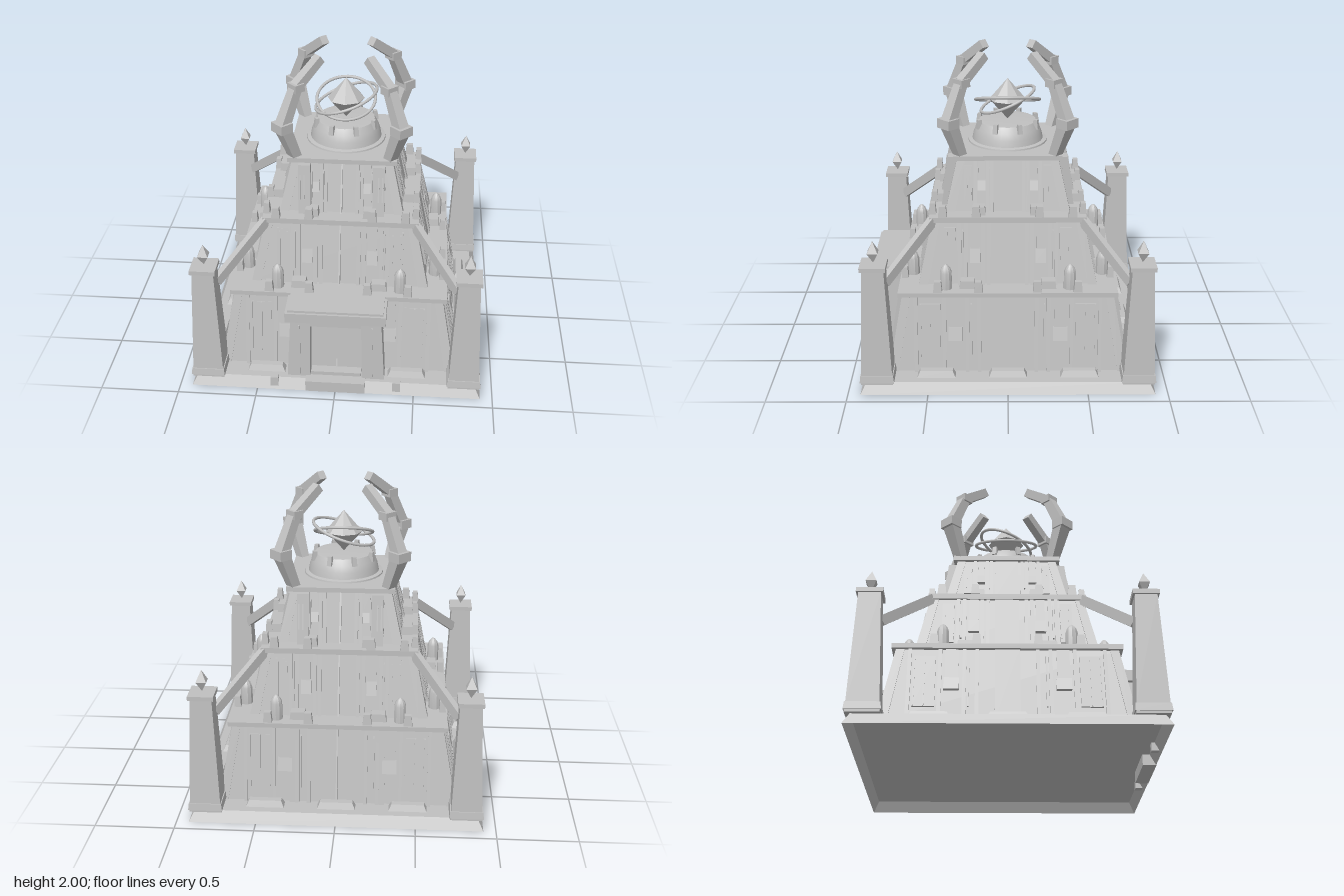
import * as THREE from 'three';
import { toCreasedNormals } from 'three/addons/utils/BufferGeometryUtils.js';

// Double sided because the base is an open shell underneath
const stone = new THREE.MeshStandardMaterial({ color: 0xc0c0c0, side: THREE.DoubleSide });
stone.name = 'grey stone';

function add(parent, name, geometry) {
  const mesh = new THREE.Mesh(geometry, stone);
  mesh.name = name;
  parent.add(mesh);
  return mesh;
}

// Block between a bottom and a top rectangle, each [x0, x1, z0, z1]
function slab(parent, name, y0, y1, bottom, top = bottom) {
  const geo = new THREE.BoxGeometry(1, 1, 1);
  const p = geo.attributes.position;
  for (let i = 0; i < p.count; i++) {
    const up = p.getY(i) > 0;
    const r = up ? top : bottom;
    p.setXYZ(i, p.getX(i) > 0 ? r[1] : r[0], up ? y1 : y0, p.getZ(i) > 0 ? r[3] : r[2]);
  }
  geo.computeVertexNormals();
  return add(parent, name, geo);
}

const rect = (x, z, hx, hz = hx) => [x - hx, x + hx, z - hz, z + hz];

// Tapered bar between two [y, z] points in the plane x = 0
function beam(parent, name, [ya, za], [yb, zb], w0, h0, w1 = w0, h1 = h0) {
  const geo = new THREE.BoxGeometry(1, 1, Math.hypot(yb - ya, zb - za));
  const p = geo.attributes.position;
  for (let i = 0; i < p.count; i++) {
    const end = p.getZ(i) > 0;
    p.setX(i, p.getX(i) * (end ? w1 : w0));
    p.setY(i, p.getY(i) * (end ? h1 : h0));
  }
  geo.computeVertexNormals();
  const mesh = add(parent, name, geo);
  mesh.position.set(0, (ya + yb) / 2, (za + zb) / 2);
  mesh.rotation.x = -Math.atan2(yb - ya, zb - za);
}

function lathe(parent, name, pts, sides) {
  const geo = new THREE.LatheGeometry(pts.map(([x, y]) => new THREE.Vector2(x, y)), sides);
  return add(parent, name, toCreasedNormals(geo, 0.5));
}

// slabs: [x, width, bottom depth, top depth] on the front and back walls
const tiers = [
  { y0: 0.07, y1: 0.56, w0: 0.745, w1: 0.66, trim: 0.69, trimTop: 0.59,
    panels: [[0.49, 0.13, 0.17, 0.51]], box: [0.33, 0.09, 0.28, 0.36],
    slabs: [[0.487, 0.19, 0.012, 0.012], [0.27, 0.06, 0.015, 0.015]],
    pilasters: [0.18, 0.255, 0.40, 0.58], ribs: [0.23, 0.49, 0.55], ribDepth: 0.03 },
  { y0: 0.59, y1: 0.985, w0: 0.555, w1: 0.475, trim: 0.495, trimTop: 1.02,
    panels: [[0.365, 0.075, 0.66, 0.95]], box: [0.207, 0.065, 0.735, 0.82],
    slabs: [[0.35, 0.08, 0.015, 0.015]],
    pilasters: [0.12, 0.155, 0.265, 0.305], ribs: [0.285, 0.335, 0.385], ribDepth: 0.03 },
  { y0: 1.02, y1: 1.345, w0: 0.385, w1: 0.315, trim: 0.345, trimTop: 1.375,
    panels: [[0.25, 0.05, 1.08, 1.31]], box: [0.165, 0.05, 1.16, 1.22],
    slabs: [[0.235, 0.075, 0.04, 0.065]],
    pilasters: [0.10, 0.127, 0.205], ribs: [0.115, 0.19, 0.235, 0.26], ribDepth: 0.06 },
];

function tierWalls(root, t) {
  const w = (y) => t.w0 + (t.w1 - t.w0) * (y - t.y0) / (t.y1 - t.y0);
  slab(root, 'tierBody', t.y0, t.y1, rect(0, 0, t.w0), rect(0, 0, t.w1));
  slab(root, 'tierTrim', t.y1, t.trimTop, rect(0, 0, t.trim));
  for (let k = 0; k < 4; k++) {
    const side = new THREE.Group();
    side.name = 'wallSide';
    side.rotation.y = k * Math.PI / 2;
    root.add(side);
    const flank = k % 2 === 1;
    // Upright strip that follows the leaning wall
    const strip = (name, x, width, y0, y1, d0, d1 = d0) => {
      const h = width / 2;
      slab(side, name, y0, y1, [x - h, x + h, w(y0) - 0.02, w(y0) + d0],
        [x - h, x + h, w(y1) - 0.02, w(y1) + d1]);
    };
    // Doors on the flanks, a thin fin on front and back
    if (flank) {
      strip('wallDoor', 0, 0.15, t.y0 + 0.03, t.y1, 0.01);
      strip('doorInset', 0, 0.12, t.y0 + 0.05, t.y1 - 0.03, 0.014);
    } else {
      strip('centreFin', 0, 0.01, t.y0 + 0.02, t.y1, 0.06, 0.015);
    }
    for (const s of [-1, 1]) {
      for (const x of t.pilasters) strip('pilaster', s * x, 0.022, t.y0, t.y1, 0.02, 0.014);
      for (const [x, pw, a, b] of t.panels) strip('wallPanel', s * x, pw, a, b, 0.016);
      for (const x of t.ribs) strip('wallRib', s * x, 0.008, t.y0 + 0.1, t.y1 - 0.05, flank ? 0.02 : t.ribDepth);
      if (!flank) for (const [x, sw, d0, d1] of t.slabs) strip('wallSlab', s * x, sw, t.y0, t.y1, d0, d1);
      const [bx, bw, b0, b1] = t.box;
      strip('wallBox', s * bx, bw, b0, b1, 0.03, 0.022);
      strip('boxShaft', s * bx, bw * 0.85, b1, t.y1, 0.01);
    }
    // Corner rib on each tier
    slab(side, 'cornerRib', t.y0, t.y1, rect(t.w0 - 0.02, t.w0 - 0.02, 0.03), rect(t.w1 - 0.02, t.w1 - 0.02, 0.026));
  }
}

export function createModel() {
  const root = new THREE.Group();
  root.name = 'steppedTower';

  // Base shell, open underneath (the bottom face is dropped), and three battered tiers
  const base = slab(root, 'base', 0, 0.07, rect(0, 0, 0.922), rect(0, 0, 0.885)).geometry;
  const faces = Array.from(base.index.array);
  faces.splice(18, 6);
  base.setIndex(faces);
  base.clearGroups();
  tiers.forEach((t) => tierWalls(root, t));

  // Ornaments repeated on all four sides
  for (let k = 0; k < 4; k++) {
    const side = new THREE.Group();
    side.name = 'sideOrnaments';
    side.rotation.y = k * Math.PI / 2;
    root.add(side);
    const block = (name, x, z, y, h, hx, hz, tx = 0.75, tz = tx) =>
      slab(side, name, y, y + h, rect(x, z, hx, hz), rect(x, z, hx * tx, hz * tz));
    if (k) block('footBlock', 0, 0.798, 0.07, 0.04, 0.12, 0.036, 0.85, 0.55);
    for (const s of [-1, 1]) {
      block('footBlock', s * 0.45, 0.798, 0.07, 0.04, 0.12, 0.036, 0.85, 0.55);
      block('terraceBox', s * 0.255, 0.595, 0.59, 0.05, 0.05, 0.036, 0.88);
      block('merlon', s * 0.44, 0.66, 0.59, 0.07, 0.028, 0.022);
      block('merlon', s * 0.185, 0.66, 0.59, 0.07, 0.028, 0.022);
      block('terraceBox', s * 0.183, 0.425, 1.02, 0.055, 0.043, 0.036, 0.88);
      block('merlon', s * 0.41, 0.475, 1.02, 0.07, 0.028, 0.022);
      block('merlon', s * 0.2, 0.475, 1.02, 0.07, 0.028, 0.022);
      const turret = lathe(side, 'turret', [[0, 0], [0.04, 0], [0.038, 0.11], [0.03, 0.135], [0.015, 0.155], [0, 0.165]], 10);
      turret.position.set(s * 0.39, 0.59, 0.61);
    }
  }

  // Entrance porch
  slab(root, 'porchRoof', 0.51, 0.575, [-0.315, 0.315, 0.6, 0.895]);
  slab(root, 'porchRoofCap', 0.575, 0.59, [-0.3, 0.3, 0.6, 0.88]);
  slab(root, 'porchLintel', 0.45, 0.51, [-0.28, 0.28, 0.6, 0.845]);
  slab(root, 'porchDoor', 0.07, 0.45, [-0.175, 0.175, 0.6, 0.79], [-0.165, 0.165, 0.6, 0.76]);
  slab(root, 'entranceStep', 0, 0.075, [-0.19, 0.19, 0.84, 0.925]);
  slab(root, 'doorSill', 0.075, 0.1, [-0.16, 0.16, 0.7, 0.85]);
  for (const s of [-1, 1]) {
    const span = (a, b, z) => [Math.min(s * a, s * b), Math.max(s * a, s * b), 0.6, z];
    slab(root, 'porchPillar', 0.07, 0.51, span(0.165, 0.31, 0.86), span(0.16, 0.285, 0.845));
    slab(root, 'porchRib', 0.09, 0.46, span(0.225, 0.235, 0.87), span(0.225, 0.235, 0.857));
    slab(root, 'frontStud', 0.02, 0.085, rect(s * 0.39, 0.89, 0.025));
  }

  // Corner pillars, struts and claws, one set per diagonal
  for (const sx of [-1, 1]) for (const sz of [-1, 1]) {
    const x = sx * 0.815, z = sz * 0.815;
    slab(root, 'pillarPlinth', 0.07, 0.085, rect(x, z, 0.1));
    slab(root, 'pillarFoot', 0.085, 0.13, rect(x, z, 0.107), rect(x, z, 0.102));
    slab(root, 'pillarShaft', 0.13, 0.83, rect(x, z, 0.096), rect(x, z, 0.067));
    slab(root, 'pillarCap', 0.83, 0.858, rect(x, z, 0.08));
    const finial = lathe(root, 'pillarFinial', [[0, 0.862], [0.046, 0.93], [0, 1.003]], 4);
    finial.position.set(x, 0, z);
    finial.rotation.y = Math.PI / 4;

    const arm = new THREE.Group();
    arm.name = 'diagonalArm';
    arm.rotation.y = Math.atan2(sx, sz);
    root.add(arm);
    beam(arm, 'strut', [0.7, 1.07], [0.99, 0.67], 0.04, 0.062);
    const foot = [1.36, 0.42], elbow = [1.6, 0.52], wrist = [1.838, 0.405], tip = [1.976, 0.215];
    beam(arm, 'clawLower', foot, elbow, 0.06, 0.06, 0.09, 0.075);
    beam(arm, 'clawMiddle', elbow, wrist, 0.075, 0.07, 0.06, 0.06);
    beam(arm, 'clawTip', wrist, tip, 0.06, 0.06, 0.055, 0.056);
    slab(arm, 'clawElbow', 1.57, 1.63, rect(0, 0.52, 0.053, 0.045));
    slab(arm, 'clawWrist', 1.81, 1.862, rect(0, 0.405, 0.042, 0.036));
  }

  // Domed pedestal with rim teeth
  lathe(root, 'pedestal', [[0.258, 1.37], [0.255, 1.385], [0.23, 1.39], [0.222, 1.43], [0.208, 1.47],
    [0.185, 1.51], [0.165, 1.512], [0, 1.512]], 32);
  for (let i = 0; i < 8; i++) {
    const tooth = slab(root, 'rimTooth', 1.47, 1.53, rect(0, 0.2, 0.016, 0.018), rect(0, 0.197, 0.013, 0.012));
    tooth.rotation.y = (i + 0.5) * Math.PI / 4;
  }

  // Floating crystal and its two tilted rings
  lathe(root, 'crystal', [[0, 1.515], [0.12, 1.648], [0, 1.787]], 8);
  const ring = (radius, rx, rz) => {
    const geo = new THREE.TorusGeometry(radius, 0.01, 8, 40).rotateX(Math.PI / 2);
    const mesh = add(root, 'orbitRing', geo);
    mesh.position.y = 1.645;
    mesh.rotation.set(rx, 0, rz);
  };
  ring(0.208, 0, 0.33);
  ring(0.188, 0.41, 0);

  return root;
}
